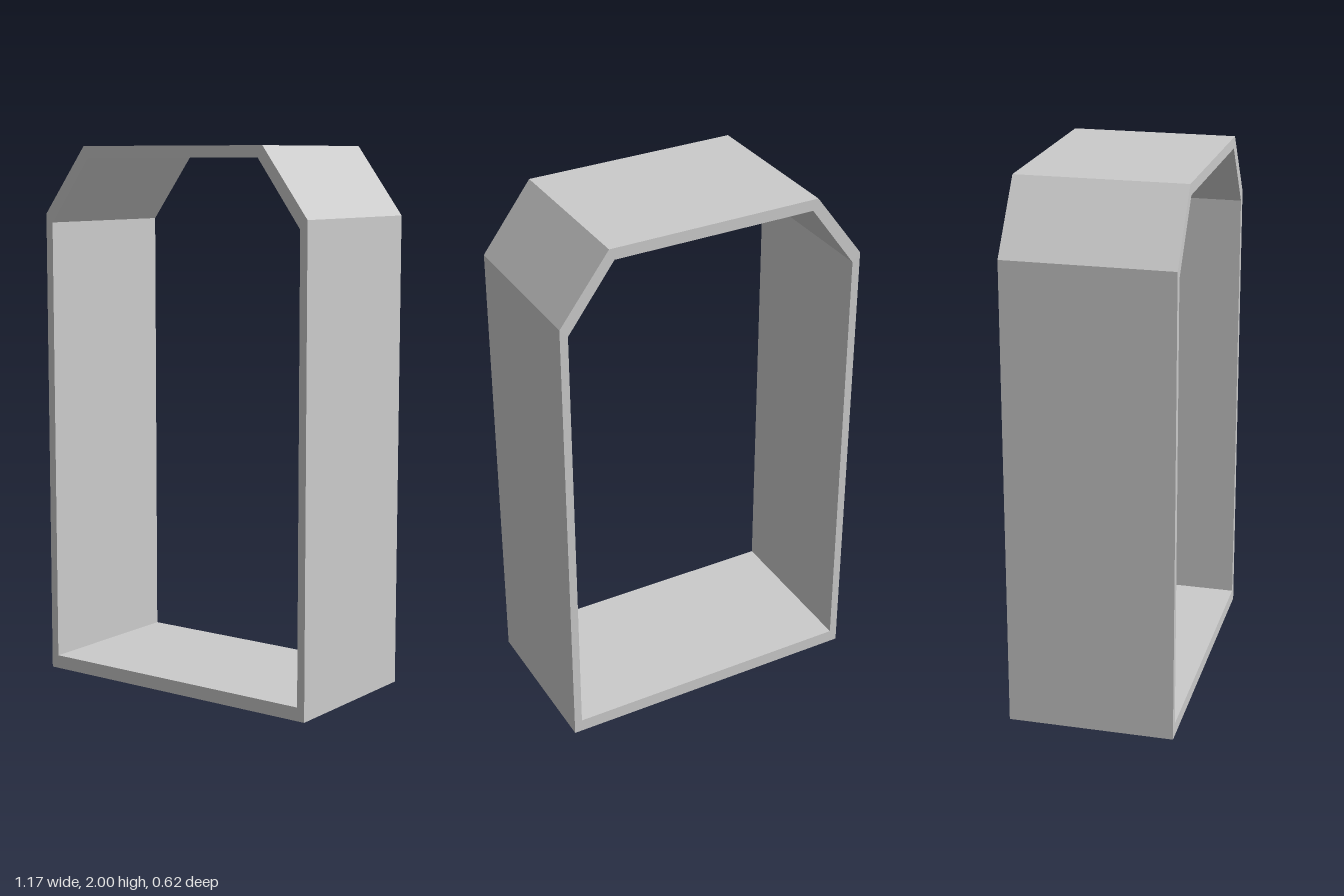
import * as THREE from 'three';

const DEPTH = 0.616;

// Mirrored outline with chamfered top corners, counter-clockwise from bottom left
function outline(Type, halfWidth, bottom, shoulder, halfTop, top) {
  const right = [[halfWidth, bottom], [halfWidth, shoulder], [halfTop, top]];
  const left = right.map(([x, y]) => [-x, y]).reverse();
  return new Type([...right, ...left].map(([x, y]) => new THREE.Vector2(x, y)));
}

export function createModel() {
  const group = new THREE.Group();
  group.name = 'chamferedFrame';

  // Open frame: outer profile with the opening cut through it
  const profile = outline(THREE.Shape, 0.587, 0, 1.75, 0.4, 2);
  profile.holes.push(outline(THREE.Path, 0.557, 0.05, 1.718, 0.381, 1.958));

  const geometry = new THREE.ExtrudeGeometry(profile, { depth: DEPTH, bevelEnabled: false });
  geometry.translate(0, 0, -DEPTH / 2);

  const frame = new THREE.Mesh(
    geometry,
    new THREE.MeshStandardMaterial({ color: 0xcccccc, flatShading: true })
  );
  frame.name = 'frame';
  group.add(frame);
  return group;
}
